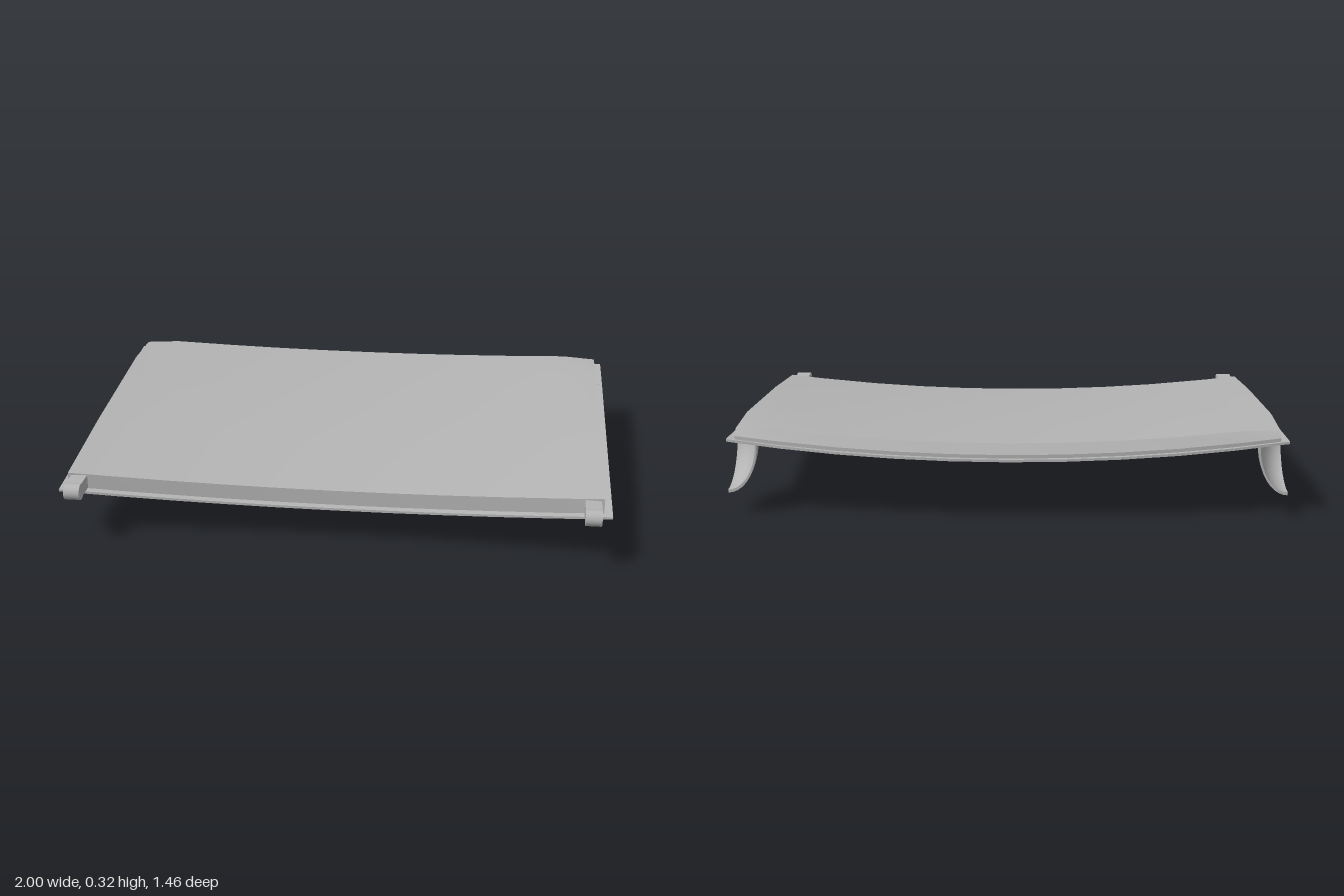
import * as THREE from 'three';
import { toCreasedNormals } from 'three/addons/utils/BufferGeometryUtils.js';

const grey = new THREE.MeshStandardMaterial({ color: 0xb4b4b4, side: THREE.DoubleSide });
grey.name = 'plain grey';

function add(parent, name, geometry, x = 0, y = 0, z = 0) {
  const mesh = new THREE.Mesh(geometry, grey);
  mesh.name = name;
  mesh.position.set(x, y, z);
  parent.add(mesh);
  return mesh;
}

// Loft along x; section(x) gives bottom and top [z, y] points, both front to rear
function loft(xs, section) {
  const pos = [], index = [];
  let n = 0;
  for (const x of xs) {
    const { bottom, top } = section(x);
    n = bottom.length;
    for (const [z, y] of [...bottom, ...top.slice().reverse()]) pos.push(x, y, z);
  }
  const ring = 2 * n, last = (xs.length - 1) * ring;
  const quad = (a, b, c, d) => index.push(a, b, c, a, c, d);
  for (let i = 0; i < xs.length - 1; i++) {
    for (let j = 0; j < ring; j++) {
      const a = i * ring + j, b = i * ring + (j + 1) % ring;
      quad(a, b, b + ring, a + ring);
    }
  }
  for (let k = 0; k < n - 1; k++) {
    const m = ring - 1 - k;
    quad(last + k, last + k + 1, last + m - 1, last + m);
    quad(m, m - 1, k + 1, k);
  }
  const g = new THREE.BufferGeometry();
  g.setAttribute('position', new THREE.Float32BufferAttribute(pos, 3));
  g.setIndex(index);
  return toCreasedNormals(g, 0.4);
}

// Outline in (z, y), extruded across x and centred
function sideExtrude(shape, width) {
  const g = new THREE.ExtrudeGeometry(shape, { depth: width, bevelEnabled: false, curveSegments: 16 });
  return g.translate(0, 0, -width / 2).rotateY(-Math.PI / 2);
}

// Lower sheet with its projecting rim: sags at the middle, bows to the rear
function sheetSection(x) {
  const s = x * x, r = 0.05 * s;
  const bottom = [
    [0.59 + 0.06 * s, 0.133 + r], [0.2, 0.163 + r],
    [-0.42, 0.211 + r], [-0.73 + 0.08 * s, 0.222 + r],
  ];
  return { bottom, top: bottom.map(([z, y]) => [z, y + 0.009]) };
}

// Raised panel with a sloping rear edge and slightly dipped rear corners
function panelSection(x) {
  const s = x * x, r = 0.05 * s;
  const dip = Math.max(0, (Math.abs(x) - 0.84) / 0.13) * 0.014;
  const front = 0.565 + 0.06 * s, rear = -0.71 + 0.075 * s;
  return {
    bottom: [[front, 0.14 + r], [0.2, 0.168 + r], [-0.4, 0.215 + r], [rear + 0.03, 0.225 + r], [rear, 0.228 + r]],
    top: [[front, 0.2 + r], [0.2, 0.238 + r], [-0.4, 0.275 + r], [rear + 0.022, 0.28 + r - dip], [rear, 0.243 + r]],
  };
}

// Hollow eighth-of-a-sphere scoop, open outwards and to the rear
function scoop(name) {
  const g = new THREE.Group();
  g.name = name;
  const inner = 0.94, q = Math.PI / 2;
  for (const r of [1, inner]) {
    add(g, r === 1 ? 'scoopOuterShell' : 'scoopInnerShell', new THREE.SphereGeometry(r, 10, 10, 0, q, q, q));
  }
  add(g, 'scoopRearRim', new THREE.RingGeometry(inner, 1, 10, 1, Math.PI, q));
  add(g, 'scoopSideRim', new THREE.RingGeometry(inner, 1, 10, 1, Math.PI, q).rotateY(q));
  return g;
}

export function createModel() {
  const model = new THREE.Group();
  model.name = 'curvedLid';

  const half = [0.2, 0.4, 0.6, 0.8];
  const stations = (end) => [-end, ...half.map((v) => -v).reverse(), 0, ...half, end];
  add(model, 'lowerSheet', loft(stations(1), sheetSection));
  const xs = [-0.97, -0.84, -0.6, -0.4, -0.2, 0, 0.2, 0.4, 0.6, 0.84, 0.97];
  add(model, 'raisedPanel', loft(xs, panelSection));

  for (const side of [1, -1]) {
    const label = side > 0 ? 'left' : 'right';

    // Rear corner scoops
    const s = scoop(label + 'Scoop');
    s.position.set(side, 0.27, -0.65);
    s.scale.set(side * 0.11, 0.187, 0.22);
    model.add(s);

    // Front hinge lugs
    const lug = new THREE.Group();
    lug.name = label + 'HingeLug';
    add(lug, 'lugArm', new THREE.BoxGeometry(0.058, 0.05, 0.12), side * 0.93, 0.212, 0.635);
    add(lug, 'lugEnd', new THREE.CylinderGeometry(0.03, 0.03, 0.058, 24).rotateZ(Math.PI / 2), side * 0.93, 0.21, 0.698);
    model.add(lug);
  }

  // Clevis under the front middle
  const clevis = new THREE.Group();
  clevis.name = 'clevis';
  add(clevis, 'clevisBase', new THREE.BoxGeometry(0.1, 0.01, 0.19), 0, 0.152, 0.295).rotation.x = 0.077;

  const ear = new THREE.Shape();
  ear.moveTo(0.205, 0.16);
  ear.lineTo(0.268, 0.022);
  ear.absarc(0.3, 0.036, 0.035, Math.PI * 1.13, Math.PI * 1.94, false);
  ear.lineTo(0.358, 0.13);
  ear.lineTo(0.36, 0.148);
  const hole = new THREE.Path();
  hole.absarc(0.3, 0.038, 0.014, 0, Math.PI * 2, true);
  ear.holes.push(hole);
  for (const side of [1, -1]) add(clevis, 'clevisEar', sideExtrude(ear, 0.012), side * 0.024);

  const block = new THREE.Shape();
  block.moveTo(0.355, 0.147);
  block.lineTo(0.35, 0.105);
  block.quadraticCurveTo(0.347, 0.095, 0.335, 0.095);
  block.lineTo(0.255, 0.1);
  block.quadraticCurveTo(0.24, 0.102, 0.235, 0.115);
  block.lineTo(0.215, 0.158);
  add(clevis, 'clevisBlock', sideExtrude(block, 0.062));

  add(clevis, 'clevisPin', new THREE.CylinderGeometry(0.014, 0.014, 0.086, 20).rotateZ(Math.PI / 2), 0, 0.038, 0.3);
  model.add(clevis);

  return model;
}
